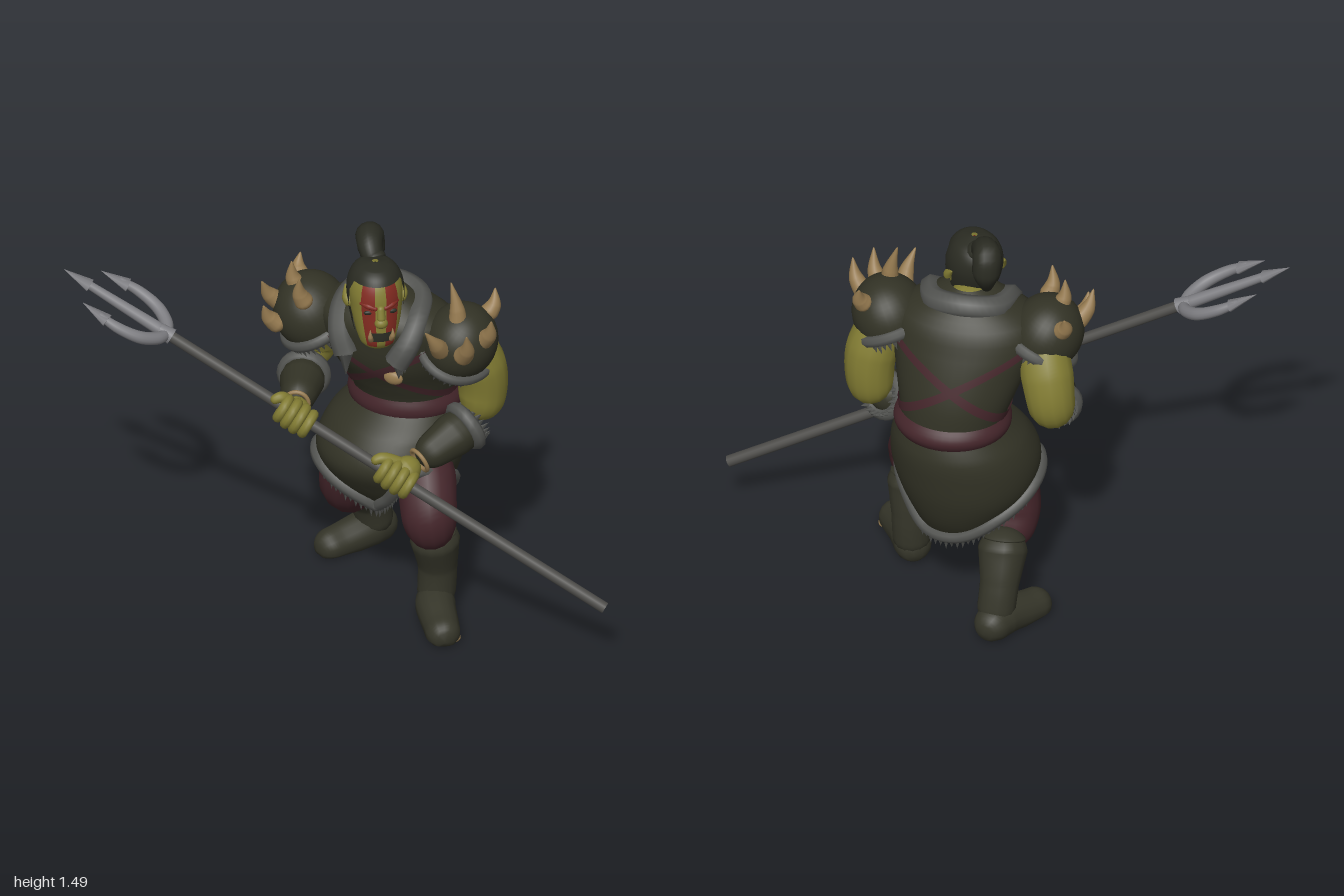
import * as THREE from 'three';
import { mergeGeometries, mergeVertices } from 'three/addons/utils/BufferGeometryUtils.js';
import { ParametricGeometry } from 'three/addons/geometries/ParametricGeometry.js';

const V = (p) => new THREE.Vector3(...p);
const TAU = Math.PI * 2;
const lerp = THREE.MathUtils.lerp;
const smooth = THREE.MathUtils.smoothstep;

function material(name, color, side = THREE.FrontSide) {
  const m = new THREE.MeshStandardMaterial({ color, side });
  m.name = name;
  return m;
}

// Smooth interpolation of a table whose first column is the key
function profile(rows, k) {
  let i = 0;
  while (i < rows.length - 2 && k > rows[i + 1][0]) i++;
  const a = rows[i], b = rows[i + 1], p = rows[Math.max(i - 1, 0)], n = rows[Math.min(i + 2, rows.length - 1)];
  const h = b[0] - a[0], t = THREE.MathUtils.clamp((k - a[0]) / h, 0, 1), t2 = t * t, t3 = t2 * t;
  return a.slice(1).map((va, j) => {
    const vb = b[j + 1], ma = (vb - p[j + 1]) / (b[0] - p[0]), mb = (n[j + 1] - va) / (n[0] - a[0]);
    return (2 * t3 - 3 * t2 + 1) * va + (t3 - 2 * t2 + t) * h * ma + (3 * t2 - 2 * t3) * vb + (t3 - t2) * h * mb;
  });
}

// Point on a stack of ellipses [y, centre x, centre z, half width, half depth]; angle 0 faces +z
function onBody(rows, y, a, grow, target) {
  const [cx, cz, rx, rz] = profile(rows, y);
  return target.set(cx + Math.sin(a) * Math.max(rx + grow, 0.002), y, cz + Math.cos(a) * Math.max(rz + grow, 0.002));
}

// Rounded tube with a radius for each point; vertices stay above floor
function limb(points, radii, floor = -9) {
  const curve = new THREE.CatmullRomCurve3(points.map(V));
  const segs = 36, sides = 14, length = curve.getLength();
  const geo = new THREE.TubeGeometry(curve, segs, 1, sides);
  const pos = geo.attributes.position, v = new THREE.Vector3();
  for (let i = 0; i <= segs; i++) {
    const u = i / segs, c = curve.getPointAt(u), k = curve.getUtoTmapping(u) * (radii.length - 1);
    const j = Math.min(Math.floor(k), radii.length - 2);
    let r = lerp(radii[j], radii[j + 1], k - j);
    const s = Math.min(u, 1 - u) * length;
    if (s < r) r *= Math.sqrt(Math.max(0, 1 - (1 - s / r) ** 2));
    for (let n = 0; n <= sides; n++) {
      const id = i * (sides + 1) + n;
      v.fromBufferAttribute(pos, id).sub(c).multiplyScalar(r).add(c);
      pos.setXYZ(id, v.x, Math.max(v.y, floor), v.z);
    }
  }
  geo.deleteAttribute('uv');
  geo.deleteAttribute('normal');
  const merged = mergeVertices(geo, 1e-5);
  merged.computeVertexNormals();
  return merged;
}

// Shaggy roll with a row of tufts pointing along dir
function fur(points, r, closed, dir, tufts) {
  const curve = new THREE.CatmullRomCurve3(points, closed);
  const parts = [new THREE.TubeGeometry(curve, tufts, r, 8, closed)];
  const turn = new THREE.Quaternion().setFromUnitVectors(new THREE.Vector3(0, 1, 0), dir.clone().normalize());
  for (let i = 0; i < tufts; i++) {
    const tuft = new THREE.ConeGeometry(r * 0.7, r * (2.2 + Math.sin(i * 2.4) * 0.5), 5);
    const c = curve.getPointAt(i / tufts).addScaledVector(dir, r);
    parts.push(tuft.applyQuaternion(turn).translate(c.x, c.y, c.z));
  }
  return mergeGeometries(parts);
}

export function createModel() {
  const model = new THREE.Group();
  const skin = material('olive skin', 0x827c33), leather = material('dark leather', 0x323225, THREE.DoubleSide);
  const boot = material('boot leather', 0x353529), grey = material('grey fur', 0x535451), maroon = material('maroon cloth', 0x44252a, THREE.DoubleSide);
  const steel = material('steel', 0x7c7c80), shaftGrey = material('shaft grey', 0x4c4b48), horn = material('horn', 0x94794f);
  const red = material('red paint', 0x802a20, THREE.DoubleSide), hair = material('black hair', 0x2a2b22, THREE.DoubleSide);

  const add = (name, geo, mat, parent = model) => {
    const mesh = new THREE.Mesh(geo, mat);
    mesh.name = name;
    parent.add(mesh);
    return mesh;
  };
  const surface = (name, mat, f, parent = model, nu = 48, nv = 24) => add(name, new ParametricGeometry(f, nu, nv), mat, parent);
  const ball = (name, mat, p, s, parent = model) => {
    const b = add(name, new THREE.SphereGeometry(1, 20, 14), mat, parent);
    b.position.set(...p);
    b.scale.set(...s);
  };

  // Hunched torso with belt and crossed straps
  const torso = [[0.7, 0.12, -0.15, 0.19, 0.17], [0.8, 0.12, -0.155, 0.185, 0.165], [0.9, 0.11, -0.13, 0.21, 0.18],
    [1, 0.1, -0.09, 0.24, 0.19], [1.1, 0.09, -0.06, 0.265, 0.18], [1.18, 0.09, -0.04, 0.25, 0.16], [1.25, 0.09, -0.03, 0.13, 0.1], [1.28, 0.09, -0.01, 0.07, 0.07]];
  surface('vest', leather, (u, v, t) => onBody(torso, lerp(0.7, 1.28, v), u * TAU, 0, t));
  surface('belt', maroon, (u, v, t) => onBody(torso, lerp(0.745, 0.835, v), u * TAU, 0.004 + 0.022 * Math.sin(v * Math.PI), t), model, 48, 8);
  for (const s of [-1, 1]) {
    surface('chestStrap', maroon, (u, v, t) => onBody(torso, 0.965 + s * 0.14 * Math.sin(u * TAU) + v * 0.034, u * TAU, 0.006, t), model, 64, 2);
  }
  ball('medallion', horn, [0.17, 0.98, 0.095], [0.036, 0.026, 0.016]);
  add('neck', limb([[0.09, 1.16, -0.05], [0.09, 1.25, 0.03]], [0.09, 0.08]), skin);
  add('furCollar', fur([[0.0, 1.06, 0.12], [-0.03, 1.13, 0.1], [-0.045, 1.2, 0.03], [-0.02, 1.23, -0.08], [0.09, 1.245, -0.12],
    [0.2, 1.23, -0.08], [0.235, 1.2, 0.03], [0.225, 1.13, 0.1], [0.19, 1.06, 0.12]].map(V), 0.044, false, V([0, -1, 0]), 40), grey);

  // Skirt: front panel and back flap taper inward, sides ride up over the thighs
  const skirt = [[0.3, 0.1, -0.14, 0.12, 0.1], [0.4, 0.09, -0.13, 0.18, 0.17], [0.5, 0.08, -0.11, 0.24, 0.225],
    [0.6, 0.085, -0.095, 0.265, 0.255], [0.7, 0.1, -0.12, 0.245, 0.232], [0.78, 0.12, -0.15, 0.195, 0.175]];
  const hemTable = [[0, 0.41], [0.3, 0.47], [0.65, 0.61], [1.1, 0.57], [1.55, 0.49], [1.9, 0.38], [2.3, 0.335], [3.1, 0.335], [3.6, 0.37], [4.1, 0.45], [4.6, 0.53], [5.2, 0.55], [5.7, 0.5], [TAU, 0.41]];
  const hem = (a) => profile(hemTable, a)[0];
  surface('skirt', leather, (u, v, t) => onBody(skirt, lerp(hem(u * TAU), 0.78, v), u * TAU, 0, t), model, 64, 16);
  const hemPoints = Array.from({ length: 40 }, (_, i) => onBody(skirt, hem(i / 40 * TAU), i / 40 * TAU, 0.003, new THREE.Vector3()));
  add('skirtFur', fur(hemPoints, 0.025, true, V([0, -1, 0]), 80), grey);

  // Legs and boots
  add('leftLeg', limb([[0.19, 0.63, -0.09], [0.265, 0.54, 0.02], [0.305, 0.43, 0.09], [0.31, 0.31, 0.055]], [0.09, 0.108, 0.1, 0.07]), maroon);
  add('rightLeg', limb([[0.02, 0.64, -0.13], [-0.05, 0.5, -0.085], [-0.085, 0.37, -0.11], [-0.08, 0.26, -0.2]], [0.11, 0.115, 0.1, 0.07]), maroon);
  const boots = [
    ['left', [[0.31, 0.4, 0.065], [0.31, 0.32, 0.05], [0.31, 0.2, 0.025], [0.305, 0.03, 0.03]], [[0.285, 0.05, -0.035], [0.32, 0.06, 0.07], [0.385, 0.04, 0.175], [0.43, 0.03, 0.252]]],
    ['right', [[-0.08, 0.37, -0.215], [-0.08, 0.3, -0.25], [-0.08, 0.19, -0.31], [-0.07, 0.04, -0.35]], [[-0.045, 0.05, -0.435], [-0.09, 0.06, -0.33], [-0.165, 0.04, -0.23], [-0.22, 0.03, -0.153]]]];
  for (const [side, leg, foot] of boots) {
    add(side + 'BootShaft', limb(leg, [0.08, 0.09, 0.07, 0.068], 0.01), boot);
    add(side + 'BootCuff', limb([leg[0], leg[1]], [0.1, 0.1]), boot);
    add(side + 'BootFoot', limb(foot, [0.062, 0.072, 0.064, 0.06], 0.008), boot);
  }
  ball('wornToe', horn, [0.43, 0.016, 0.185], [0.03, 0.015, 0.03]);

  // Trident, built upward from the head's base and then aimed
  const base = V([-0.63, 1.085, 0.266]), end = V([0.99, 0.235, 0.135]);
  const axis = base.clone().sub(end), length = axis.length();
  axis.normalize();
  const side = V([0, 0, 1]).addScaledVector(axis, -axis.z).normalize();
  const trident = new THREE.Group();
  trident.name = 'trident';
  trident.quaternion.setFromRotationMatrix(new THREE.Matrix4().makeBasis(side, axis, side.clone().cross(axis)));
  trident.position.copy(base);
  model.add(trident);
  add('shaft', new THREE.CylinderGeometry(0.02, 0.021, length, 16).translate(0, -length / 2, 0), shaftGrey, trident);
  add('collar', new THREE.CylinderGeometry(0.022, 0.03, 0.06, 16), steel, trident);
  add('middleProng', limb([[0, 0, 0], [0, 0.16, 0], [0, 0.33, 0]], [0.024, 0.02, 0.015]), steel, trident);
  const point = (x, y, lean) => {
    const tip = add('prongPoint', new THREE.ConeGeometry(0.034, 0.11, 8), steel, trident);
    tip.scale.z = 0.5;
    tip.position.set(x, y, 0);
    tip.rotation.z = lean;
  };
  point(0, 0.365, 0);
  for (const s of [-1, 1]) {
    add('sideProng', limb([[0, -0.01, 0], [s * 0.05, 0.01, 0], [s * 0.1, 0.065, 0], [s * 0.122, 0.15, 0], [s * 0.116, 0.24, 0]], [0.02, 0.023, 0.023, 0.02, 0.013]), steel, trident);
    point(s * 0.112, 0.25, s * 0.12);
  }

  // Arms, bracers and gripping hands
  const arms = [
    ['left', [[0.36, 1.14, -0.04], [0.425, 0.99, -0.09], [0.43, 0.86, -0.1], [0.415, 0.77, -0.075]], [0.225, 0.645, 0.205], [0.28, 0.68, 0.13]],
    ['right', [[-0.17, 1.14, -0.04], [-0.215, 1, -0.135], [-0.235, 0.89, -0.155], [-0.24, 0.82, -0.1]], [-0.145, 0.831, 0.236], [-0.18, 0.82, 0.14]]];
  const aim = new THREE.Quaternion().setFromUnitVectors(V([0, 0, 1]), axis);
  for (const [name, arm, grip, wrist] of arms) {
    add(name + 'UpperArm', limb(arm, [0.088, 0.095, 0.085, 0.07]), skin);
    const elbow = V(arm[3]), along = V(wrist).sub(elbow).normalize();
    add(name + 'Bracer', limb([arm[3], elbow.clone().lerp(V(wrist), 0.4).toArray(), wrist], [0.072, 0.08, 0.055]), leather);
    const turn = new THREE.Quaternion().setFromUnitVectors(V([0, 0, 1]), along);
    const cuff = Array.from({ length: 12 }, (_, i) => V([Math.cos(i / 12 * TAU) * 0.072, Math.sin(i / 12 * TAU) * 0.072, 0.045]).applyQuaternion(turn).add(elbow));
    add(name + 'CuffFur', fur(cuff, 0.026, true, along.clone().negate(), 22), grey);
    add(name + 'Palm', limb([wrist, V(wrist).lerp(V(grip), 0.5).toArray(), grip], [0.042, 0.05, 0.05]), skin);
    const band = add(name + 'WristBand', new THREE.TorusGeometry(0.043, 0.008, 8, 24), horn);
    band.position.copy(V(wrist).addScaledVector(along, -0.005));
    band.quaternion.copy(turn);
    const fist = new THREE.Group();
    fist.name = name + 'Fist';
    fist.position.set(...grip);
    fist.quaternion.copy(aim);
    model.add(fist);
    for (let i = 0; i < 4; i++) {
      const finger = add('finger', new THREE.TorusGeometry(0.038 + (i === 1 || i === 2 ? 0.005 : 0), 0.019, 10, 20), skin, fist);
      finger.position.z = (i - 1.5) * 0.034;
    }
    const thumb = V(grip).addScaledVector(axis, 0.095).add(V([0, 0.012, 0.02]));
    add(name + 'Thumb', limb([V(wrist).lerp(V(grip), 0.4).toArray(), V(grip).addScaledVector(axis, 0.06).add(V([0, 0.04, 0])).toArray(), thumb.toArray()], [0.025, 0.021, 0.015]), skin);
  }

  // Spiked shoulder guards
  const spikes = {
    left: [[0.46, 1.14, 0, 0.525, 1.27, 0.05], [0.42, 1.11, 0.08, 0.47, 1.25, 0.15], [0.385, 1.18, 0.02, 0.355, 1.37, 0.01], [0.35, 1.12, 0.08, 0.325, 1.25, 0.18], [0.44, 1.18, -0.1, 0.46, 1.28, -0.15]],
    right: [[-0.28, 1.13, 0, -0.34, 1.25, 0.07], [-0.26, 1.08, 0.07, -0.31, 1.19, 0.13], [-0.22, 1.19, -0.01, -0.25, 1.32, 0.01], [-0.17, 1.18, 0.06, -0.185, 1.31, 0.1], [-0.25, 1.17, -0.1, -0.28, 1.26, -0.15]] };
  for (const [name, x, s] of [['left', 0.375, 1], ['right', -0.19, -1]]) {
    const guard = new THREE.Group();
    guard.name = name + 'ShoulderGuard';
    guard.position.set(x, 1.11, -0.03);
    guard.rotation.set(0.25, 0, -s * 0.42);
    model.add(guard);
    add('guardShell', new THREE.SphereGeometry(1, 32, 16, 0, TAU, 0, 1.9).scale(0.132, 0.145, 0.142), leather, guard);
    const rim = Array.from({ length: 20 }, (_, i) => V([Math.cos(i / 20 * TAU) * 0.126, -0.05, Math.sin(i / 20 * TAU) * 0.135]));
    add('guardFur', fur(rim, 0.023, true, V([0, -1, 0]), 40), grey, guard);
    for (const [a, b, c, d, e, f] of spikes[name]) {
      add(name + 'Spike', limb([[a, b, c], [lerp(a, d, 0.55) + s * 0.012, lerp(b, e, 0.45), lerp(c, f, 0.55)], [d, e, f]], [0.04, 0.027, 0.002]), horn);
    }
  }

  // Head, turned toward its left
  const head = new THREE.Group();
  head.name = 'head';
  head.position.set(0.09, 1.27, 0.065);
  head.rotation.y = 0.55;
  model.add(head);
  const skull = [[-0.155, 0, 0.05, 0.02, 0.02], [-0.14, 0, 0.048, 0.055, 0.055], [-0.11, 0, 0.042, 0.07, 0.078], [-0.06, 0, 0.028, 0.082, 0.092], [0, 0, 0.01, 0.092, 0.105],
    [0.06, 0, 0, 0.095, 0.11], [0.11, 0, -0.005, 0.08, 0.095], [0.14, 0, -0.005, 0.05, 0.06], [0.153, 0, -0.003, 0.004, 0.004]];
  surface('face', skin, (u, v, t) => onBody(skull, lerp(-0.155, 0.153, v), u * TAU, 0, t), head);
  const hairline = (a) => 0.108 - 0.21 * smooth(Math.min(a, TAU - a), 1.15, 1.75);
  surface('hair', hair, (u, v, t) => {
    onBody(skull, lerp(hairline(u * TAU), 0.153, v), u * TAU, 0.007, t);
    t.y += 0.006 * v;
  }, head);
  surface('mouth', hair, (u, v, t) => onBody(skull, lerp(-0.1, -0.065, v), lerp(-0.45, 0.45, u), 0.005, t), head, 12, 4);
  ball('nose', skin, [0, -0.025, 0.122], [0.024, 0.02, 0.02], head);
  add('noseBridge', limb([[0, 0.04, 0.108], [0, -0.02, 0.124]], [0.013, 0.016]), skin, head);
  for (const s of [-1, 1]) {
    surface('facePaint', red, (u, v, t) => onBody(skull, lerp(-0.125, 0.11, v), s * 0.47 + lerp(-0.26, 0.26, u), 0.003, t), head, 8, 20);
    ball('eye', hair, [s * 0.04, 0.012, 0.103], [0.02, 0.009, 0.008], head);
    add('brow', limb([[s * 0.01, 0.026, 0.111], [s * 0.042, 0.036, 0.099], [s * 0.07, 0.04, 0.076]], [0.008, 0.011, 0.005]), red, head);
    add('tusk', limb([[s * 0.034, -0.1, 0.113], [s * 0.04, -0.075, 0.128], [s * 0.04, -0.045, 0.128]], [0.01, 0.009, 0.001]), horn, head);
    add('ear', limb([[s * 0.08, -0.01, 0.005], [s * 0.098, 0.015, -0.01], [s * 0.1, 0.05, -0.045]], [0.024, 0.02, 0.002]), skin, head);
  }
  // Topknot curling down behind the head
  add('topknot', limb([[0.07, 1.38, 0.02], [0.035, 1.435, -0.02], [0.015, 1.44, -0.07], [0.015, 1.38, -0.085], [0.02, 1.28, -0.05]], [0.035, 0.045, 0.052, 0.05, 0.015]), hair);
  add('topknotBand', limb([[0.075, 1.38, 0.015], [0.05, 1.43, -0.01]], [0.042, 0.042]), hair);
  return model;
}
